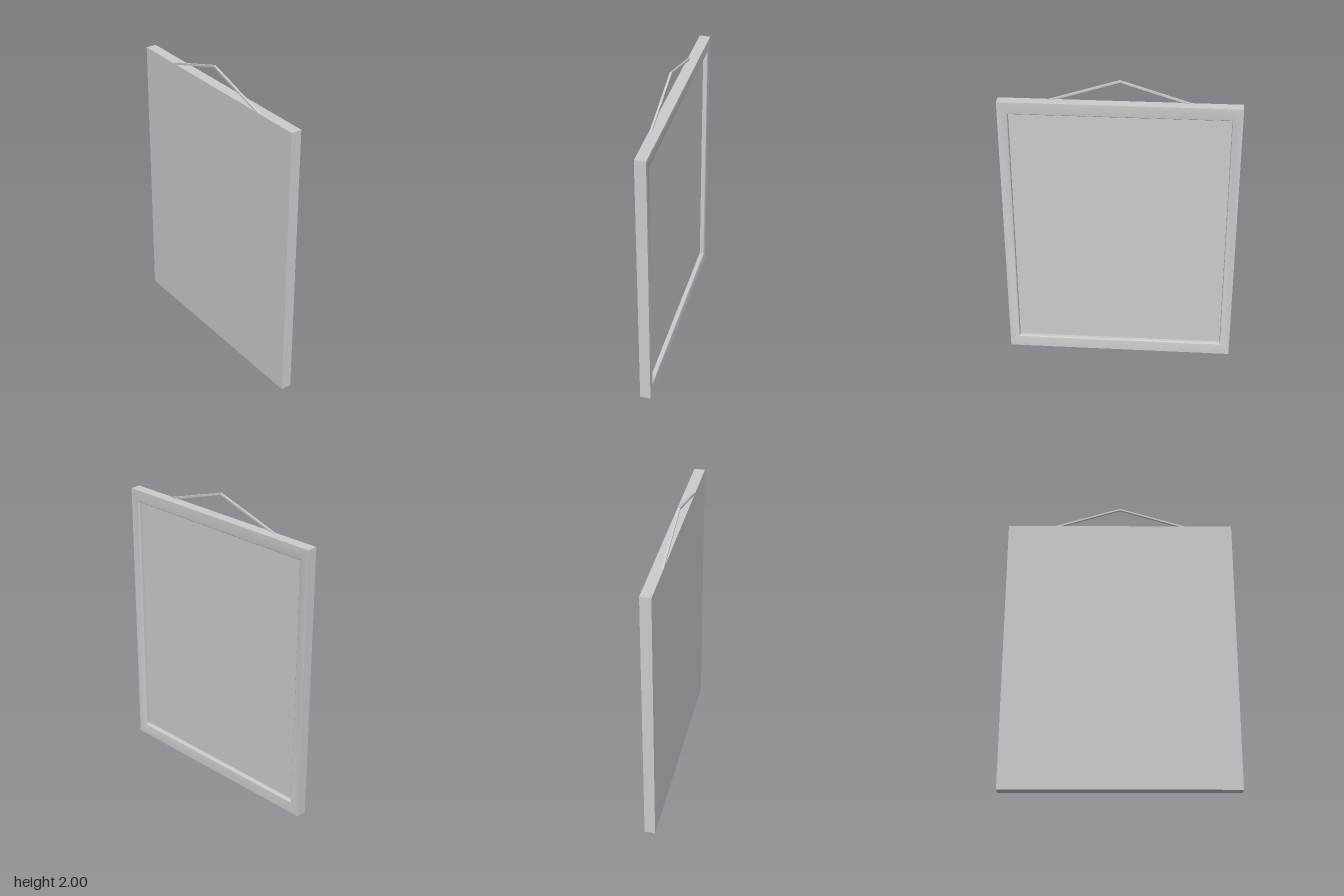
import * as THREE from 'three';
import { toCreasedNormals } from 'three/addons/utils/BufferGeometryUtils.js';

const HEIGHT = 1.86, HALF_Y = HEIGHT / 2, HALF_Z = 0.755, HALF_X = 0.035;
const OPEN_Y = 0.848, OPEN_Z = 0.69, PANEL_X = 0.005, LIP = 0.01;

// Skin rectangular rings [halfZ, halfY, x], joined with mitred corners
function rectRings(rings) {
  const signs = [[1, 1], [-1, 1], [-1, -1], [1, -1]];
  const corner = ([hz, hy, x], j) => {
    const [sy, sz] = signs[j % 4];
    return [x, HALF_Y + sy * hy, sz * hz];
  };
  const pos = [];
  for (let i = 0; i < rings.length - 1; i++) {
    for (let j = 0; j < 4; j++) {
      const a = corner(rings[i], j), b = corner(rings[i], j + 1);
      const c = corner(rings[i + 1], j + 1), d = corner(rings[i + 1], j);
      pos.push(...a, ...b, ...c, ...a, ...c, ...d);
    }
  }
  const geo = new THREE.BufferGeometry();
  geo.setAttribute('position', new THREE.Float32BufferAttribute(pos, 3));
  return toCreasedNormals(geo, 0.5);
}

export function createModel() {
  const group = new THREE.Group();
  const material = new THREE.MeshStandardMaterial({ color: 0xcccccc });
  const add = (name, geometry) => {
    const mesh = new THREE.Mesh(geometry, material);
    mesh.name = name;
    group.add(mesh);
    return mesh;
  };

  // Frame: outer wall, front face, rounded inner lip, recess wall
  const rings = [[HALF_Z, HALF_Y, -HALF_X], [HALF_Z, HALF_Y, HALF_X]];
  for (let i = 0; i <= 6; i++) {
    const a = (i / 6) * Math.PI / 2;
    const out = LIP * (1 - Math.sin(a));
    rings.push([OPEN_Z + out, OPEN_Y + out, HALF_X - LIP * (1 - Math.cos(a))]);
  }
  rings.push([OPEN_Z, OPEN_Y, PANEL_X]);
  add('frame', rectRings(rings));

  // Recessed panel and flat back
  const panel = add('panel', new THREE.PlaneGeometry(2 * OPEN_Z, 2 * OPEN_Y));
  panel.rotation.y = Math.PI / 2;
  panel.position.set(PANEL_X, HALF_Y, 0);
  const back = add('back', new THREE.PlaneGeometry(2 * HALF_Z, HEIGHT));
  back.rotation.y = -Math.PI / 2;
  back.position.set(-HALF_X, HALF_Y, 0);

  // Hanging cord: a thin bent strip rising from the top edge near the back
  const strip = new THREE.Shape([
    [-0.445, HEIGHT], [-0.405, HEIGHT], [0, 1.988], [0.405, HEIGHT], [0.445, HEIGHT], [0, 2],
  ].map(([z, y]) => new THREE.Vector2(z, y)));
  const cord = add('hangingCord', new THREE.ExtrudeGeometry(strip, { depth: 0.013, bevelEnabled: false }));
  cord.rotation.y = Math.PI / 2;
  cord.position.x = -0.033;

  return group;
}
